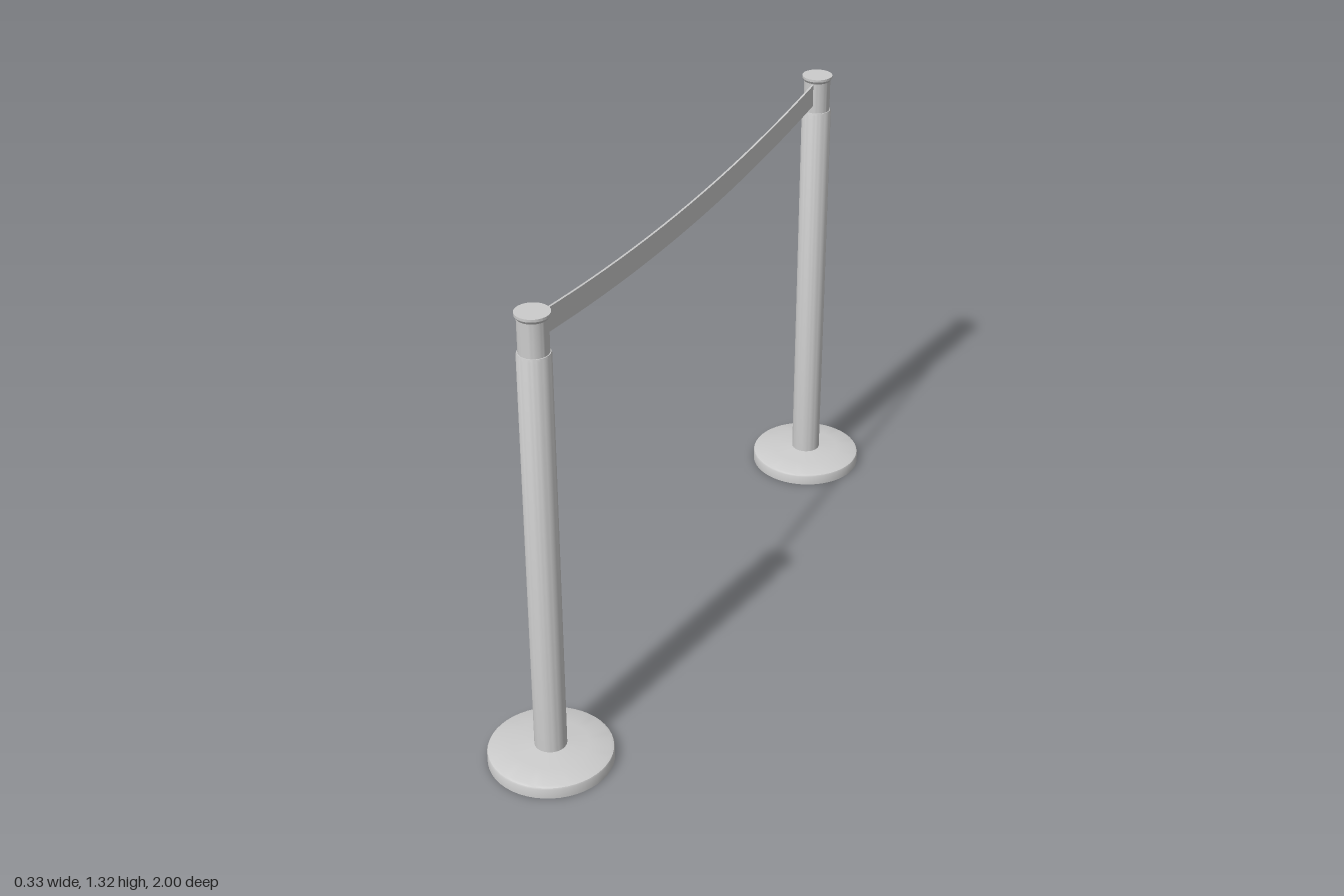
import * as THREE from 'three';
import { toCreasedNormals } from 'three/addons/utils/BufferGeometryUtils.js';

const material = new THREE.MeshStandardMaterial({ color: 0xcccccc, side: THREE.DoubleSide });

// Surface of revolution from [radius, height] pairs, with crisp edges
function lathe(name, profile) {
  const points = profile.map(([r, y]) => new THREE.Vector2(r, y));
  const mesh = new THREE.Mesh(toCreasedNormals(new THREE.LatheGeometry(points, 48), 0.5), material);
  mesh.name = name;
  return mesh;
}

function createPost(name, z) {
  const post = new THREE.Group();
  post.name = name;
  post.position.z = z;
  post.add(
    // Shallow dished base, open underneath
    lathe('base', [[0.167, 0], [0.167, 0.028], [0.165, 0.032], [0.158, 0.035], [0.1, 0.042], [0.043, 0.048]]),
    // Hollow upright, closed at the shoulder
    lathe('pole', [[0.043, 0.035], [0.043, 1.203], [0.041, 1.209], [0.038, 1.209]]),
    // Narrow belt head with a thin flared cap
    lathe('beltHead', [[0.0385, 1.205], [0.0385, 1.3], [0.044, 1.308], [0.044, 1.315], [0, 1.315]])
  );
  return post;
}

// Sagging flat belt, outlined in the z-y plane and given a slight thickness
function createBelt() {
  const end = 0.8, thickness = 0.006;
  const outline = new THREE.Shape();
  outline.moveTo(-end, 1.232);
  outline.quadraticCurveTo(0, 1.134, end, 1.228);
  outline.lineTo(end, 1.292);
  outline.quadraticCurveTo(0, 1.2, -end, 1.297);
  outline.closePath();
  const geometry = new THREE.ExtrudeGeometry(outline, { depth: thickness, bevelEnabled: false, curveSegments: 20 });
  geometry.translate(0, 0, -thickness / 2);
  geometry.rotateY(-Math.PI / 2);
  const belt = new THREE.Mesh(toCreasedNormals(geometry, 0.5), material);
  belt.name = 'belt';
  // The belt runs very slightly off the centre line
  belt.position.x = -0.002;
  belt.rotation.y = -0.004;
  return belt;
}

export function createModel() {
  const model = new THREE.Group();
  model.name = 'queueBarrier';
  model.add(createPost('frontPost', 0.833), createPost('backPost', -0.833), createBelt());
  return model;
}
